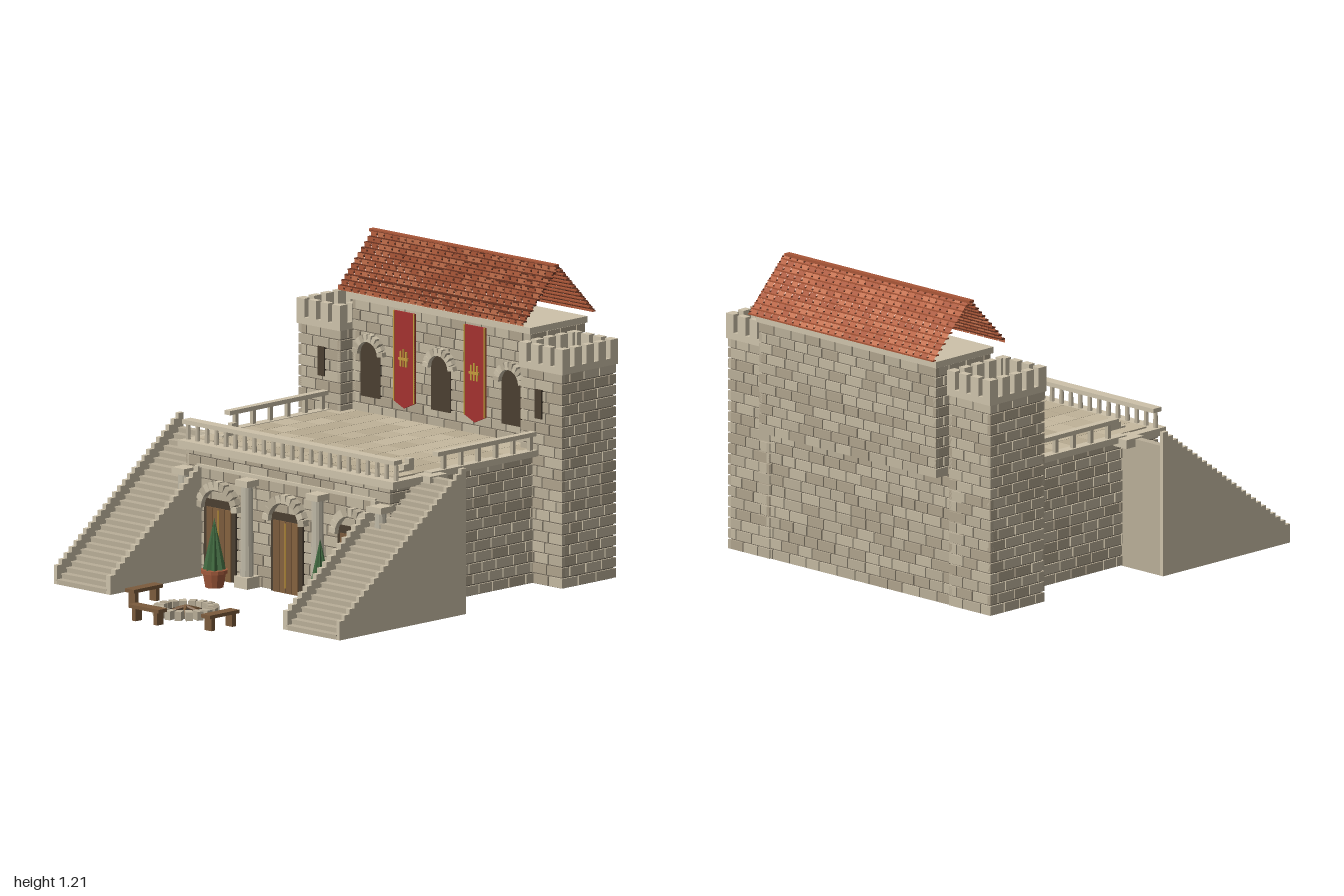
import * as THREE from 'three';
import { mergeGeometries } from 'three/addons/utils/BufferGeometryUtils.js';

const STONES = [0xb9ae98, 0xaea28c, 0xc2b7a0];
const TRIM = 0xcdc2aa, MORTAR = 0x756c5d, DARK = 0x4a3f31, WOOD = 0x7b5b3c, GOLD = 0xc49a3c;
const TILES = [0xb5603f, 0xa95638, 0xc26f4c];

export function createModel() {
  const root = new THREE.Group();
  let seed = 7;
  const rnd = () => (seed = (seed * 16807) % 2147483647) / 2147483647;
  const mats = {};
  const mat = (color, side = THREE.FrontSide) =>
    (mats[color + '_' + side] ??= new THREE.MeshStandardMaterial({ color, side, flatShading: true }));
  const add = (name, geo, color, side) => {
    const m = new THREE.Mesh(geo, mat(color, side));
    m.name = name;
    root.add(m);
    return m;
  };
  // box geometry from its limits
  const span = (x0, x1, y0, y1, z0, z1) =>
    new THREE.BoxGeometry(x1 - x0, y1 - y0, z1 - z0).translate((x0 + x1) / 2, (y0 + y1) / 2, (z0 + z1) / 2);
  const box = (name, color, ...limits) => add(name, span(...limits), color);
  // collects pieces in several shades, one mesh per shade
  const shades = (name, colors, side) => {
    const lists = colors.map(() => []);
    return {
      put: (g) => lists[Math.floor(rnd() * colors.length)].push(g),
      done: () => lists.forEach((l, i) => l.length && add(name, mergeGeometries(l), colors[i], side)),
    };
  };

  // mortar core with staggered stones on all four sides
  function masonry(name, x0, x1, y0, y1, z0, z1) {
    const t = 0.008, gap = 0.006;
    box(name + 'Core', MORTAR, x0 + t, x1 - t, y0, y1, z0 + t, z1 - t);
    const bricks = shades(name + 'Stones', STONES);
    const cx = (x0 + x1) / 2, cz = (z0 + z1) / 2;
    const rows = Math.round((y1 - y0) / 0.042), h = (y1 - y0) / rows;
    for (let side = 0; side < 4; side++) {
      const w = side % 2 ? z1 - z0 : x1 - x0, d = side % 2 ? x1 - x0 : z1 - z0;
      for (let r = 0; r < rows; r++) {
        let a = -w / 2;
        while (a < w / 2 - 0.001) {
          let len = a === -w / 2 && r % 2 ? 0.045 : 0.07 + rnd() * 0.03;
          if (w / 2 - a - len < 0.03) len = w / 2 - a;
          const end = a + len;
          const g = span(a, end >= w / 2 ? end : end - gap, y0 + r * h + gap / 2, y0 + (r + 1) * h - gap / 2, d / 2 - 2 * t, d / 2);
          bricks.put(g.rotateY(side * Math.PI / 2).translate(cx, 0, cz));
          a = end;
        }
      }
    }
    bricks.done();
  }

  // ring of wedge stones over an opening
  function arch(name, x, y, z, inner, outer, n) {
    const stones = shades(name, [TRIM, STONES[0]]);
    for (let i = 0; i < n; i++) {
      const a = Math.PI * (i + 0.5) / n, r = (inner + outer) / 2;
      const g = new THREE.BoxGeometry(outer - inner, Math.PI * r / n - 0.004, 0.035);
      stones.put(g.rotateZ(a).translate(x + r * Math.cos(a), y + r * Math.sin(a), z));
    }
    stones.done();
  }

  // main masses
  masonry('lowerHall', -0.55, 0.55, 0, 0.515, -0.88, 0.2);
  masonry('upperHall', -0.48, 0.48, 0.52, 0.965, -0.95, -0.65);
  box('upperCornice', TRIM, -0.487, 0.487, 0.965, 0.99, -0.957, -0.64);
  box('balconyCornice', TRIM, -0.58, 0.58, 0.492, 0.522, 0, 0.215);
  box('friezeBand', TRIM, -0.48, 0.48, 0.43, 0.442, 0.19, 0.212);

  // terrace paving
  const paving = shades('terracePaving', [0xc6b99f, 0xb8ab91, 0xbfb298]);
  for (let i = 0; i < 12; i++) for (let j = 0; j < 8; j++) {
    const x = -0.54 + i * 0.09, z = -0.65 + j * 0.1;
    paving.put(span(x, x + 0.088, 0.51, 0.528, z, z + 0.098));
  }
  paving.done();

  // front balustrade
  box('frontRail', TRIM, -0.57, 0.57, 0.585, 0.602, 0.155, 0.2);
  for (let i = 0; i <= 22; i++) {
    const b = add('frontBaluster', new THREE.CylinderGeometry(0.008, 0.01, 0.066, 8), STONES[2]);
    b.position.set(-0.56 + i * 1.12 / 22, 0.553, 0.177);
  }

  for (const s of [-1, 1]) {
    const sx = (a, b) => (s > 0 ? [a, b] : [-b, -a]);
    // terrace side coping, landing and railing
    box('sideCoping', TRIM, ...sx(0.538, 0.578), 0.505, 0.53, -0.59, 0);
    box('stairLanding', TRIM, ...sx(0.53, 0.62), 0.49, 0.525, -0.045, 0.05);
    box('sideRail', TRIM, ...sx(0.545, 0.575), 0.585, 0.602, -0.585, -0.04);
    for (let i = 0; i < 6; i++)
      box('sideBaluster', STONES[2], ...sx(0.552, 0.568), 0.525, 0.59, -0.573 + i * 0.096, -0.557 + i * 0.096);

    // staircase with stepped parapets
    const n = 26, run = 0.7 / n, steps = [], walls = [];
    for (let i = 0; i < n; i++) {
      const z = 0.705 - i * run, y = (i + 1) * 0.02;
      steps.push(span(...sx(0.488, 0.752), 0, y, z - run, z), span(...sx(0.485, 0.755), y - 0.005, y, z - run, z + 0.005));
      walls.push(span(...sx(0.465, 0.488), 0, y + 0.055, z - run, z), span(...sx(0.752, 0.77), 0, y + 0.055, z - run, z));
    }
    add('stairSteps', mergeGeometries(steps), STONES[0]);
    add('stairParapets', mergeGeometries(walls), TRIM);

    // corner tower with crenellations
    masonry('tower', ...sx(0.485, 0.71), 0, 0.85, -0.885, -0.588);
    box('towerDeck', 0x9a917e, ...sx(0.49, 0.708), 0.84, 0.862, -0.88, -0.59);
    const merlons = [];
    const [tx0, tx1, tz0, tz1] = [0.482, 0.716, -0.892, -0.583];
    for (const z of [tz0, tz1 - 0.03]) {
      merlons.push(span(...sx(tx0, tx1), 0.845, 0.872, z, z + 0.03));
      for (let i = 0; i < 4; i++) {
        const x = tx0 + i * (tx1 - tx0 - 0.042) / 3;
        merlons.push(span(...sx(x, x + 0.042), 0.87, 0.945, z, z + 0.03));
      }
    }
    for (const x of [tx0, tx1 - 0.03]) {
      merlons.push(span(...sx(x, x + 0.03), 0.845, 0.872, tz0, tz1));
      for (let i = 0; i < 5; i++) {
        const z = tz0 + i * (tz1 - tz0 - 0.042) / 4;
        merlons.push(span(...sx(x, x + 0.03), 0.87, 0.945, z, z + 0.042));
      }
    }
    add('battlements', mergeGeometries(merlons), TRIM);
    box('arrowSlit', DARK, ...sx(0.567, 0.603), 0.655, 0.77, -0.6, -0.582);

    // banner with gold edging and a plain ornament
    const bx = s * 0.19;
    const cloth = new THREE.Shape([[-0.057, 0.955], [-0.057, 0.6], [0, 0.575], [0.057, 0.6], [0.057, 0.955]].map(p => new THREE.Vector2(...p)));
    add('banner', new THREE.ExtrudeGeometry(cloth, { depth: 0.008, bevelEnabled: false }).translate(bx, 0, -0.645), 0xa3322f);
    for (const e of [-0.054, 0.054]) box('bannerTrim', GOLD, bx + e - 0.003, bx + e + 0.003, 0.6, 0.955, -0.64, -0.634);
    for (const e of [-0.016, 0, 0.016]) box('bannerOrnament', GOLD, bx + e - 0.004, bx + e + 0.004, 0.74, 0.8 + (e ? 0 : 0.01), -0.64, -0.632);
    box('bannerOrnament', GOLD, bx - 0.026, bx + 0.026, 0.765, 0.775, -0.64, -0.631);

    // columns under the balcony
    for (const c of [0.19, 0.53]) {
      const x = s * c;
      box('columnBase', TRIM, x - 0.036, x + 0.036, 0, 0.045, 0.195, 0.268);
      add('columnShaft', new THREE.CylinderGeometry(0.023, 0.027, 0.36, 12), 0xbfb8a6).position.set(x, 0.22, 0.232);
      box('columnCapital', TRIM, x - 0.033, x + 0.033, 0.4, 0.425, 0.195, 0.265);
    }

    // potted conifer
    const px = s * 0.285, pz = 0.315;
    add('pot', new THREE.CylinderGeometry(0.048, 0.036, 0.065, 12), 0xa35a3c).position.set(px, 0.0325, pz);
    add('potRim', new THREE.CylinderGeometry(0.053, 0.053, 0.014, 12), 0xa35a3c).position.set(px, 0.063, pz);
    const tree = new THREE.ConeGeometry(0.045, 0.205, 16, 1);
    const p = tree.attributes.position;
    for (let i = 0; i < p.count; i++) {
      const a = Math.round(Math.atan2(p.getZ(i), p.getX(i)) / (Math.PI / 8));
      const k = a % 2 ? 0.72 : 1;
      p.setXYZ(i, p.getX(i) * k, p.getY(i), p.getZ(i) * k);
    }
    add('conifer', tree, 0x40693f).position.set(px, 0.17, pz);
  }

  for (const k of [-1, 0, 1]) {
    // doors
    const x = k * 0.36;
    box('doorFrame', DARK, x - 0.085, x + 0.085, 0, 0.312, 0.19, 0.208);
    for (let i = 0; i < 4; i++)
      box('doorPlank', i % 2 ? 0x85623f : WOOD, x - 0.066 + i * 0.033, x - 0.035 + i * 0.033, 0, 0.282, 0.2, 0.214);
    box('doorStrap', GOLD, x - 0.003, x + 0.003, 0.02, 0.275, 0.21, 0.217);
    arch('doorArch', x, 0.277, 0.212, 0.08, 0.112, 11);
    // arched windows
    const w = k * 0.38;
    const hole = new THREE.Shape();
    hole.moveTo(w - 0.052, 0.59).lineTo(w + 0.052, 0.59).lineTo(w + 0.052, 0.757);
    hole.absarc(w, 0.757, 0.052, 0, Math.PI);
    add('window', new THREE.ExtrudeGeometry(hole, { depth: 0.012, bevelEnabled: false, curveSegments: 12 }).translate(0, 0, -0.658), DARK);
    arch('windowArch', w, 0.757, -0.645, 0.053, 0.083, 10);
  }

  // tiled gable roof
  const rows = 11, cols = 26, h = 0.205 / rows, d = 0.2 / rows, cw = 1 / cols;
  const tiles = shades('roofTiles', TILES, THREE.DoubleSide), holes = [], ledges = [], backLedges = [];
  for (let i = 0; i < rows; i++) {
    const y = 1.003 + i * h, zf = -0.6 - i * d, zb = -1 + i * d;
    ledges.push(span(-0.51, 0.49, y + h - 0.005, y + h, zf - d, zf));
    backLedges.push(span(-0.51, 0.49, y, y + 0.005, zb, zb + d));
    for (let j = 0; j < cols; j++) {
      const x = -0.51 + (j + 0.5) * cw;
      tiles.put(new THREE.PlaneGeometry(cw - 0.002, h).translate(x, y + h / 2, zf));
      tiles.put(new THREE.PlaneGeometry(cw - 0.002, Math.hypot(h, d)).rotateX(-Math.PI * 0.75).translate(x, y + h / 2, zb + d / 2));
      holes.push(new THREE.BoxGeometry(0.007, 0.006, 0.004).translate(x + cw / 2 - 0.004, y + h / 2, zf));
      holes.push(new THREE.BoxGeometry(0.007, 0.005, 0.005).translate(x + cw / 2 - 0.004, y + h / 2, zb + d / 2));
    }
  }
  tiles.done();
  add('tileGaps', mergeGeometries(holes), 0x5f3222);
  add('frontTileLedges', mergeGeometries(ledges), 0x62301f);
  add('backTileLedges', mergeGeometries(backLedges), TILES[1]);
  box('roofRidge', TILES[1], -0.525, 0.475, 1.203, 1.214, -0.812, -0.788);

  // fire pit
  const ring = shades('firePitStones', STONES);
  for (let i = 0; i < 18; i++)
    ring.put(new THREE.BoxGeometry(0.042, 0.035, 0.027).translate(0.108, 0.0175, 0).rotateY(i * Math.PI / 9).translate(0, 0, 0.765));
  ring.done();
  add('firePitBed', new THREE.CylinderGeometry(0.086, 0.086, 0.012, 20), 0x3d352d).position.set(0, 0.006, 0.765);
  for (let i = 0; i < 5; i++) {
    const log = new THREE.CylinderGeometry(0.007, 0.007, 0.078, 6).rotateZ(Math.PI / 2 - 0.3).translate(0.037, 0.022, 0);
    add('fireLog', log.rotateY(i * Math.PI * 0.4 + 0.3), WOOD).position.set(0, 0, 0.765);
  }

  // benches
  for (const [x, z, turn] of [[-0.275, 0.715, 1], [0.275, 0.858, 1], [0, 0.976, 0]]) {
    const bench = new THREE.Group();
    bench.name = 'bench';
    const part = (name, g) => { const m = new THREE.Mesh(g, mat(WOOD)); m.name = name; bench.add(m); };
    part('benchSeat', span(-0.081, 0.081, 0.05, 0.064, -0.024, 0.024));
    for (const s of [-0.058, 0.058]) part('benchLeg', span(s - 0.01, s + 0.01, 0, 0.05, -0.018, 0.018));
    bench.position.set(x, 0, z);
    bench.rotation.y = turn * Math.PI / 2;
    root.add(bench);
  }
  return root;
}
